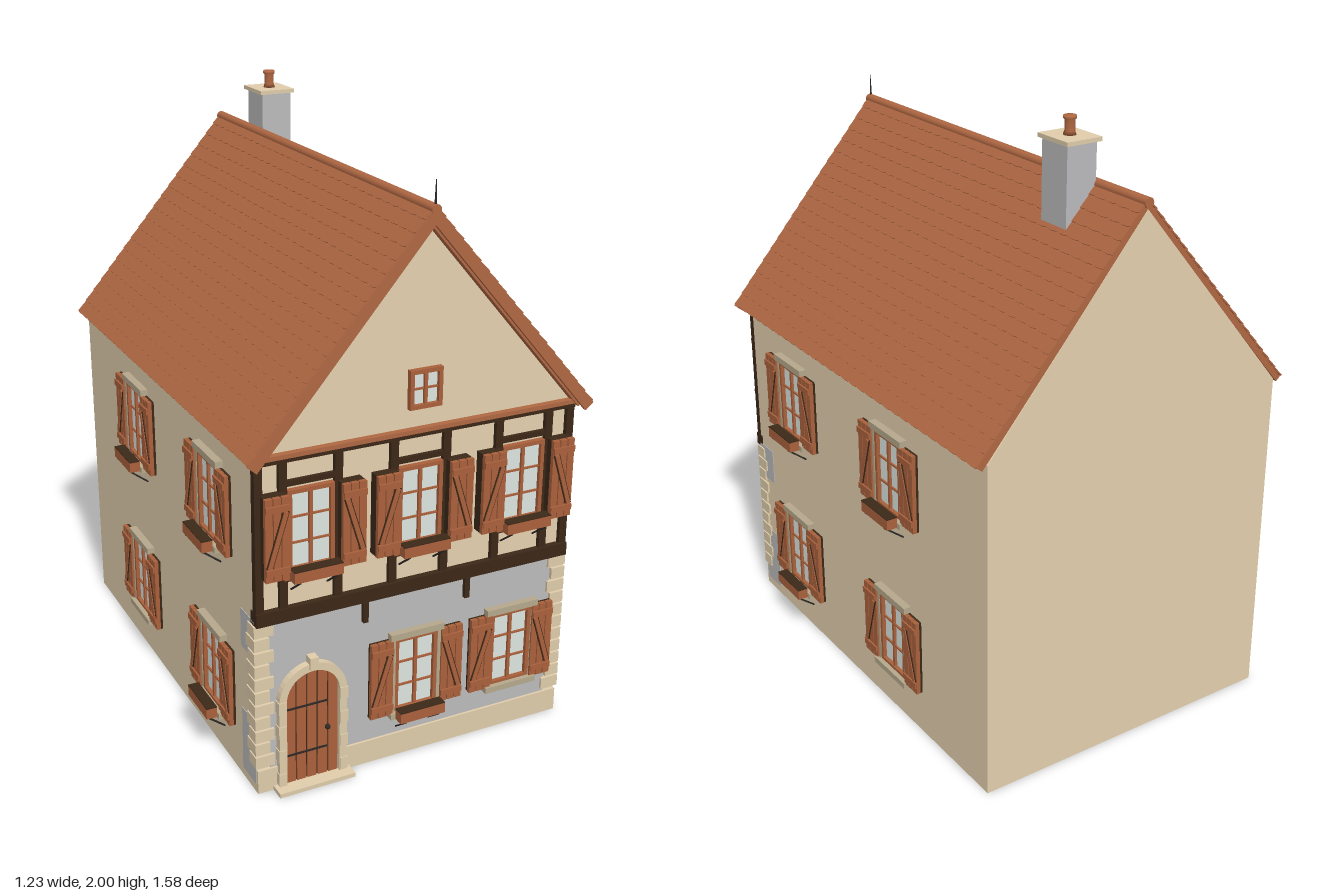
import * as THREE from 'three';

const material = (name, color) => Object.assign(new THREE.MeshStandardMaterial({ color }), { name });
const plaster = material('plaster', 0xe4d0ae);
const render = material('grey render', 0xbbbbbd);
const stone = material('stone', 0xe0cdab);
const trim = material('window stone', 0xb5a88c);
const tile = material('roof tile', 0xb06843);
const wood = material('painted wood', 0xaa613c);
const timber = material('dark timber', 0x3c2818);
const iron = material('iron', 0x2c2826);
const glass = material('glass', 0xdde6e1);

function add(parent, name, geometry, mat, x = 0, y = 0, z = 0) {
  const mesh = new THREE.Mesh(geometry, mat);
  mesh.name = name;
  mesh.position.set(x, y, z);
  parent.add(mesh);
  return mesh;
}
// Box given by its min and max on each axis
function block(parent, name, mat, x0, x1, y0, y1, z0, z1) {
  return add(parent, name, new THREE.BoxGeometry(x1 - x0, y1 - y0, z1 - z0), mat,
    (x0 + x1) / 2, (y0 + y1) / 2, (z0 + z1) / 2);
}
function group(parent, name) {
  const g = new THREE.Group();
  g.name = name;
  parent.add(g);
  return g;
}
const extrude = (shape, depth) => new THREE.ExtrudeGeometry(shape, { depth, bevelEnabled: false, curveSegments: 10 });

// Frame, bars and pane, centred on its own origin and facing +z
function casement(parent, w, h, rows) {
  const f = 0.013;
  block(parent, 'pane', glass, -w / 2, w / 2, -h / 2, h / 2, 0, 0.005);
  for (const s of [-1, 1]) {
    add(parent, 'frameSide', new THREE.BoxGeometry(f, h + f, 0.018), wood, s * w / 2, 0, 0.009);
    add(parent, 'frameRail', new THREE.BoxGeometry(w + f, f, 0.018), wood, 0, s * h / 2, 0.009);
  }
  add(parent, 'mullion', new THREE.BoxGeometry(0.011, h, 0.014), wood, 0, 0, 0.007);
  for (let i = 1; i < rows; i++)
    add(parent, 'glazingBar', new THREE.BoxGeometry(w, 0.006, 0.01), wood, 0, -h / 2 + h * i / rows, 0.006);
}

// Planks on a dark backing board, with battens and a brace in front
function shutter(parent, x, side, reach) {
  const g = group(parent, 'shutter');
  g.position.x = x;
  block(g, 'shutterBacking', timber, -0.038, 0.038, -0.132, 0.132, 0.004, reach - 0.018);
  for (let i = -1; i <= 1; i++)
    add(g, 'plank', new THREE.BoxGeometry(0.0235, 0.265, 0.014), wood, i * 0.0268, 0, reach - 0.013);
  for (const y of [-0.1, 0.1])
    add(g, 'batten', new THREE.BoxGeometry(0.076, 0.02, 0.007), wood, 0, y, reach - 0.0035);
  for (const e of [-1, 1])
    add(g, 'braceEdge', new THREE.BoxGeometry(0.004, 0.18, 0.004), timber, e * 0.009, 0, reach - 0.005).rotation.z = side * 0.3;
  add(g, 'brace', new THREE.BoxGeometry(0.014, 0.18, 0.007), wood, 0, 0, reach - 0.0035).rotation.z = side * 0.3;
}

function shutteredWindow(parent, hasBox, stoneTrim, reach = 0.032, spread = 0.125) {
  const g = group(parent, 'window');
  casement(g, 0.138, 0.25, 3);
  for (const s of [-1, 1]) {
    shutter(g, s * spread, s, reach);
    if (stoneTrim) add(g, 'jamb', new THREE.BoxGeometry(0.016, 0.27, 0.02), trim, s * 0.083, 0, 0.01);
  }
  if (stoneTrim) add(g, 'lintel', new THREE.BoxGeometry(0.19, 0.022, 0.026), trim, 0, 0.142, 0.013);
  add(g, 'sill', new THREE.BoxGeometry(0.19, 0.02, 0.034), stoneTrim ? trim : wood, 0, -0.138, 0.017);
  if (hasBox) {
    // Planter on two slanted brackets
    block(g, 'planter', wood, -0.08, 0.08, -0.145, -0.11, 0.034, 0.07);
    block(g, 'soil', timber, -0.08, 0.08, -0.11, -0.107, 0.034, 0.07);
    for (const x of [-0.06, 0.06]) {
      const b = add(g, 'planterBracket', new THREE.BoxGeometry(0.005, 0.005, 0.085), iron, x, -0.172, 0.034);
      b.rotation.x = -0.66;
    }
  }
  return g;
}

// Round-headed outline standing on a base line
function arch(Kind, r, spring, base = 0) {
  const p = new Kind();
  p.moveTo(-r, base);
  p.lineTo(r, base);
  p.lineTo(r, spring);
  p.absarc(0, spring, r, 0, Math.PI, false);
  p.lineTo(-r, base);
  return p;
}

function buildDoor(parent) {
  const g = group(parent, 'door');
  g.position.set(-0.363, 0, 0.722);
  const surround = arch(THREE.Shape, 0.115, 0.31);
  surround.holes.push(arch(THREE.Path, 0.09, 0.31, 0.012));
  add(g, 'doorSurround', extrude(surround, 0.026), stone);
  add(g, 'doorLeaf', extrude(arch(THREE.Shape, 0.09, 0.31), 0.009), timber);
  // Planks, each cut to the arch above it
  const rise = x => 0.31 + Math.sqrt(Math.max(0, 0.09 ** 2 - x * x));
  for (let i = -2; i <= 2; i++) {
    const a = i * 0.036 - 0.0155, b = i * 0.036 + 0.0155, plank = new THREE.Shape();
    plank.moveTo(a, 0.012);
    plank.lineTo(b, 0.012);
    for (let k = 0; k <= 4; k++) plank.lineTo(b + (a - b) * k / 4, rise(b + (a - b) * k / 4));
    add(g, 'doorPlank', extrude(plank, 0.006), wood, 0, 0, 0.009);
  }
  for (const y of [0.11, 0.275]) block(g, 'strapHinge', iron, -0.087, 0.05, y, y + 0.006, 0.014, 0.018);
  add(g, 'doorKnob', new THREE.SphereGeometry(0.009, 10, 8), iron, 0.05, 0.185, 0.022);
  add(g, 'keystone', new THREE.BoxGeometry(0.028, 0.04, 0.034), stone, 0, 0.428, 0.017);
  for (const s of [-1, 1]) for (let i = 0; i < 4; i++)
    add(g, 'jambStone', new THREE.BoxGeometry(0.026, 0.04, 0.03), stone, s * 0.105, 0.04 + i * 0.085, 0.014);
  block(g, 'doorstep', stone, -0.13, 0.13, 0, 0.014, 0, 0.06);
}

function buildRoof(parent) {
  const roof = group(parent, 'roof');
  const angle = Math.atan2(0.68, 0.58), length = 0.892, courses = 19, step = length / courses;
  // One tile course with a scalloped lower edge
  const strip = new THREE.Shape(), n = 30, pitch = 1.56 / n;
  strip.moveTo(-0.01, -0.78);
  strip.lineTo(step - 0.003, -0.78);
  for (let i = 0; i < n; i++)
    strip.quadraticCurveTo(step + 0.003, -0.78 + (i + 0.5) * pitch, step - 0.003, -0.78 + (i + 1) * pitch);
  strip.lineTo(-0.01, 0.78);
  const course = new THREE.ExtrudeGeometry(strip, { depth: 0.005, bevelEnabled: false, curveSegments: 4 });
  course.rotateX(-Math.PI / 2).rotateZ(0.07);
  for (const side of [0, 1]) {
    const half = group(roof, 'roofSide');
    half.rotation.y = side * Math.PI;
    const slope = group(half, 'roofSlope');
    slope.position.y = 1.805;
    slope.rotation.z = -angle;
    block(slope, 'roofDeck', tile, 0, length - 0.004, -0.02, 0, -0.778, 0.778);
    for (let i = 0; i < courses; i++) add(slope, 'tileCourse', course, tile, i * step, 0, 0);
    // Board along the front verge
    const z = side ? -1 : 1;
    add(slope, 'bargeboard', new THREE.BoxGeometry(length + 0.004, 0.036, 0.014), tile, length / 2, -0.014, z * 0.776);
    add(slope, 'vergeMoulding', new THREE.BoxGeometry(length - 0.04, 0.01, 0.03), tile, length / 2, -0.034, z * 0.755);
  }
  const ridge = new THREE.CylinderGeometry(0.016, 0.016, 1.57, 12).rotateX(Math.PI / 2);
  add(roof, 'ridgeTiles', ridge, tile, 0, 1.8, 0);
  add(roof, 'finial', new THREE.CylinderGeometry(0.001, 0.004, 0.08, 6), iron, 0, 1.845, 0.776);
}

function buildChimney(parent) {
  const g = group(parent, 'chimney');
  block(g, 'stack', render, 0.01, 0.116, 1.58, 1.93, -0.552, -0.43);
  block(g, 'cap', stone, 0, 0.126, 1.93, 1.943, -0.565, -0.42);
  const pot = [[0, 0], [0.02, 0], [0.016, 0.012], [0.016, 0.044], [0.02, 0.048], [0.02, 0.057], [0, 0.057]];
  add(g, 'chimneyPot', new THREE.LatheGeometry(pot.map(p => new THREE.Vector2(...p)), 16), tile, 0.063, 1.943, -0.491);
}

function buildTimberFrame(parent) {
  const g = group(parent, 'timberFrame');
  block(g, 'jettyInfill', plaster, -0.544, 0.544, 0.6, 1.12, 0.7, 0.722);
  block(g, 'bressummer', timber, -0.547, 0.547, 0.588, 0.632, 0.7, 0.743);
  block(g, 'topPlate', timber, -0.547, 0.547, 1.102, 1.124, 0.7, 0.74);
  // Short rails above and below each window
  for (const x of [-0.365, 0, 0.365]) for (const y of [0.725, 1.032])
    add(g, 'windowRail', new THREE.BoxGeometry(0.18, 0.018, 0.02), timber, x, y, 0.725);
  for (const s of [-1, 1]) {
    for (const x of [0.09, 0.275, 0.455, 0.533])
      add(g, 'post', new THREE.BoxGeometry(0.026, 0.49, 0.024), timber, s * x, 0.865, 0.725);
    block(g, 'corbel', timber, s * 0.18 - 0.009, s * 0.18 + 0.009, 0.515, 0.59, 0.72, 0.738);
  }
}

export function createModel() {
  const house = new THREE.Group();
  house.name = 'house';

  // Walls, open underneath
  const walls = group(house, 'walls');
  for (const s of [-1, 1]) block(walls, 'sideWall', plaster, s * 0.515 - 0.03, s * 0.515 + 0.03, 0, 1.13, -0.78, 0.72);
  block(walls, 'backWall', plaster, -0.545, 0.545, 0, 1.13, -0.78, -0.72);
  block(walls, 'frontWall', plaster, -0.545, 0.545, 0, 1.13, 0.66, 0.72);
  block(walls, 'frontRecess', plaster, -0.49, 0.49, 0.005, 0.5, 0.4, 0.66);
  const gable = new THREE.Shape([[-0.545, 1.13], [0.545, 1.13], [0, 1.78]].map(p => new THREE.Vector2(...p)));
  add(walls, 'backGable', extrude(gable, 0.06), plaster, 0, 0, -0.78);
  add(walls, 'frontGable', extrude(gable, 0.06), plaster, 0, 0, 0.68);
  block(walls, 'gableSkirt', tile, -0.54, 0.54, 1.124, 1.138, 0.72, 0.762);
  block(walls, 'groundRender', render, -0.5, 0.5, 0.08, 0.59, 0.72, 0.724);
  for (const [x0, x1] of [[-0.545, -0.478], [-0.248, 0.545]])
    block(walls, 'plinth', stone, x0, x1, 0, 0.08, 0.72, 0.732);

  // Corner stones and the render showing beside them
  for (const s of [-1, 1]) {
    for (let i = 0; i < 11; i++) {
      const w = i % 2 ? 0.05 : 0.064, d = i % 2 ? 0.064 : 0.05;
      add(walls, 'quoin', new THREE.BoxGeometry(w, 0.039, d), stone, s * (0.552 - w / 2), 0.112 + i * 0.0455, 0.733 - d / 2);
    }
    for (const [y0, y1] of [[0.03, 0.25], [0.47, 0.6]])
      block(walls, 'sideRender', render, s * 0.545 - 0.002, s * 0.545 + 0.002, y0, y1, 0.62, 0.719);
  }

  buildTimberFrame(house);
  buildDoor(house);

  // Front windows
  for (const x of [-0.365, 0, 0.365]) shutteredWindow(house, true, false, 0.058).position.set(x, 0.88, 0.722);
  shutteredWindow(house, true, true).position.set(0, 0.298, 0.722);
  shutteredWindow(house, false, true, 0.032, 0.115).position.set(0.35, 0.298, 0.722);
  const attic = group(house, 'atticWindow');
  attic.position.set(0, 1.26, 0.74);
  casement(attic, 0.096, 0.11, 2);

  // Side windows, with the closed recess behind each one
  for (const s of [-1, 1]) for (const z of [0.41, -0.247]) for (const y of [0.88, 0.29]) {
    const w = shutteredWindow(house, y > 0.5 || z > 0, true);
    w.position.set(s * 0.545, y, z);
    w.rotation.y = s * Math.PI / 2;
    add(walls, 'windowRecess', new THREE.BoxGeometry(0.26, 0.55, 0.34), plaster, s * 0.36, y, z);
  }

  buildRoof(house);
  buildChimney(house);
  return house;
}
